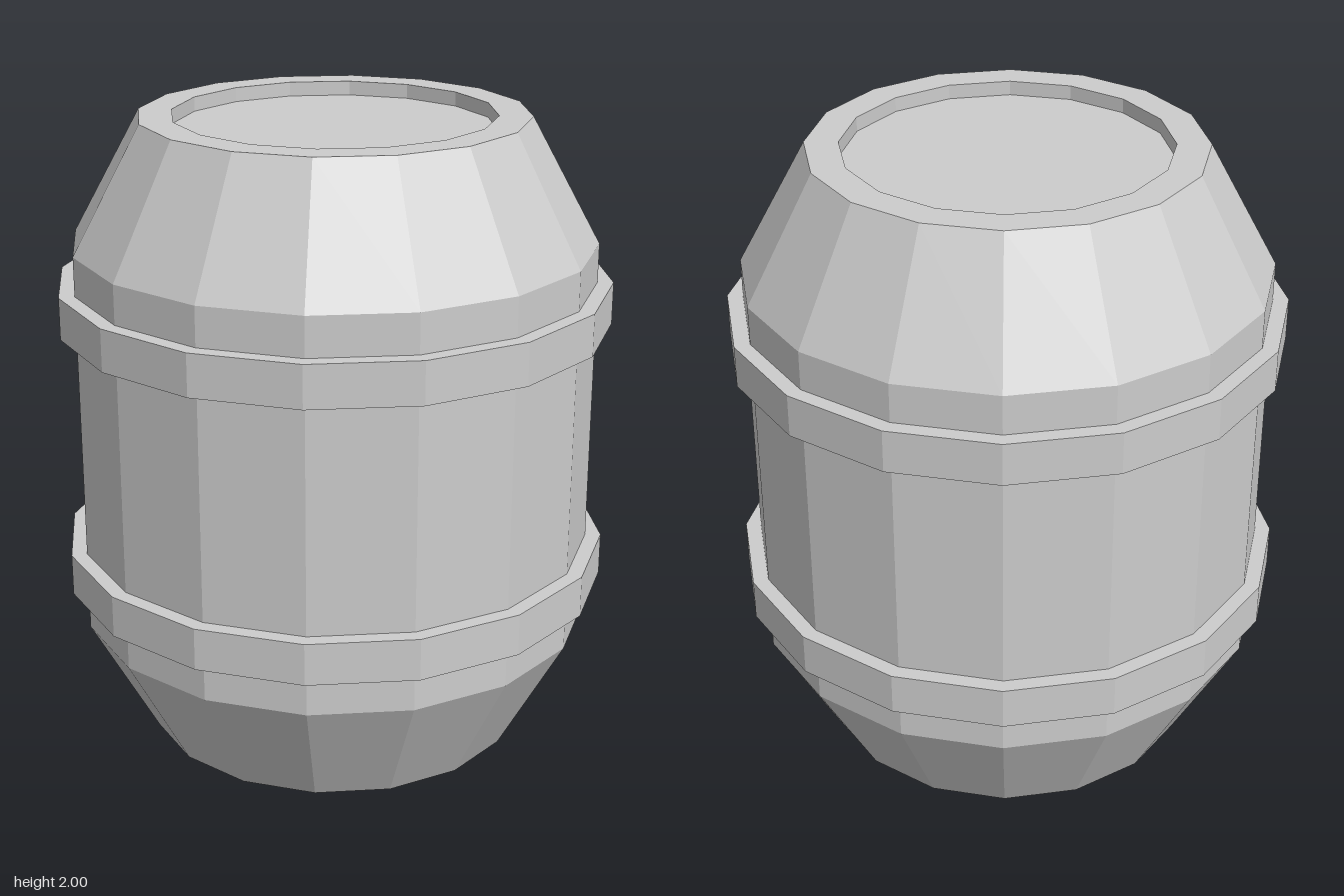
import * as THREE from 'three';

const SIDES = 16;

// Faceted solid of revolution from a list of [radius, height] points, bottom to top
function turned(name, profile, material) {
  const points = profile.map(([r, y]) => new THREE.Vector2(r, y));
  const geometry = new THREE.LatheGeometry(points, SIDES).toNonIndexed();
  geometry.computeVertexNormals();
  const mesh = new THREE.Mesh(geometry, material);
  mesh.name = name;
  return mesh;
}

// Flat end panel, facing up or down
function endPanel(name, radius, y, up, material) {
  const geometry = new THREE.CircleGeometry(radius, SIDES);
  geometry.rotateX(up ? -Math.PI / 2 : Math.PI / 2);
  const mesh = new THREE.Mesh(geometry, material);
  mesh.position.y = y;
  mesh.name = name;
  return mesh;
}

export function createModel() {
  const grey = new THREE.MeshStandardMaterial({ color: 0xcccccc, flatShading: true });
  grey.name = 'light grey';

  const barrel = new THREE.Group();
  barrel.name = 'barrel';

  const rim = 0.6, belly = 0.813, recess = 0.497, depth = 0.045;

  // Shell with tapered ends, flat rims and recess walls
  barrel.add(turned('shell', [
    [recess, depth], [recess, 0], [rim, 0], [belly, 0.39],
    [belly, 1.613], [rim, 2], [recess, 2], [recess, 2 - depth],
  ], grey));

  // Sunken lid and base
  barrel.add(endPanel('lid', recess, 2 - depth, true, grey));
  barrel.add(endPanel('base', recess, depth, false, grey));

  // Two raised hoops around the belly
  for (const [name, y] of [['lowerHoop', 0.58], ['upperHoop', 1.425]]) {
    const hoop = turned(name, [
      [0.8, -0.066], [0.862, -0.066], [0.862, 0.066], [0.8, 0.066],
    ], grey);
    hoop.position.y = y;
    barrel.add(hoop);
  }

  return barrel;
}
